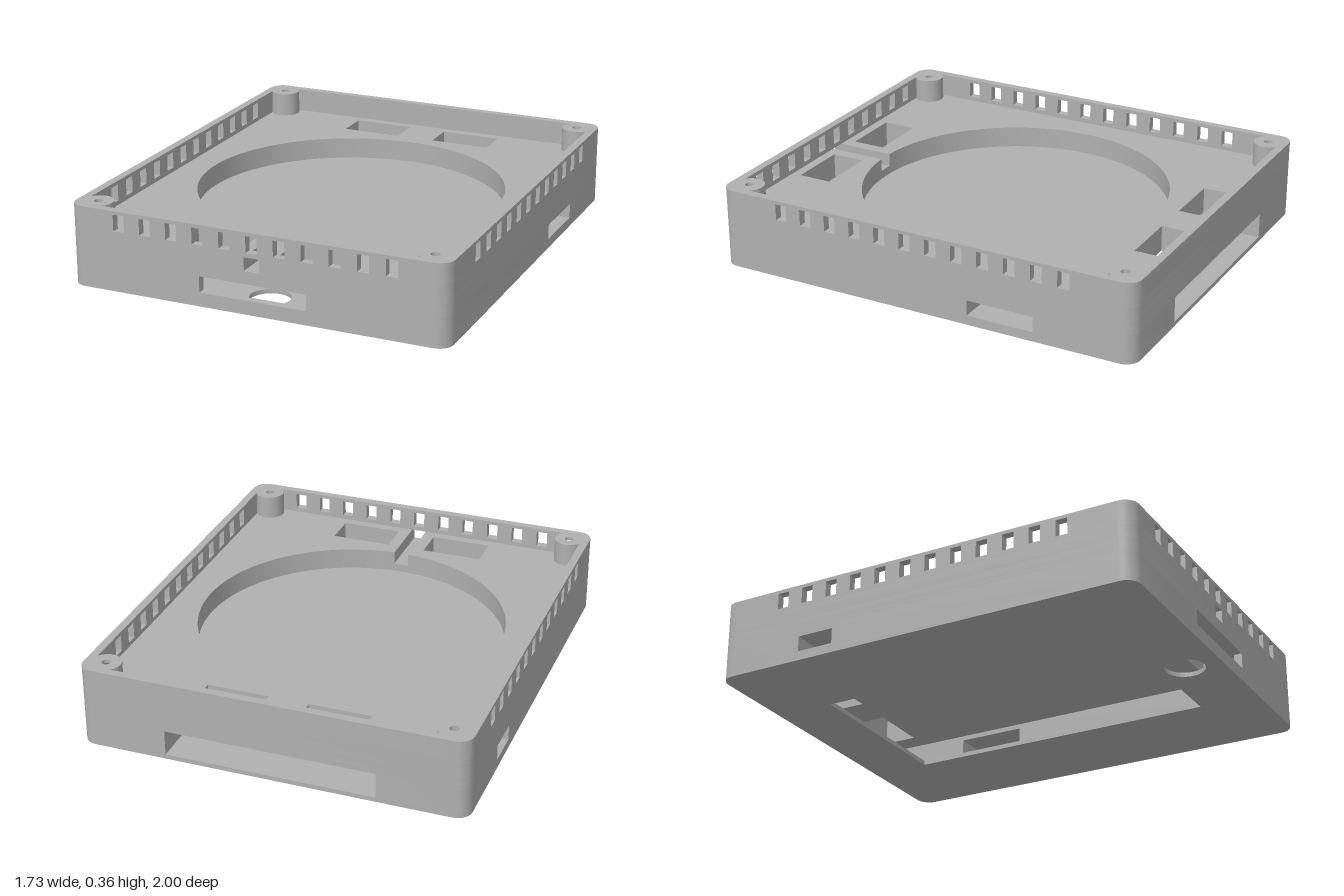
import * as THREE from 'three';
import { toCreasedNormals } from 'three/addons/utils/BufferGeometryUtils.js';

const W = 0.865, D = 1, H = 0.363, R = 0.065;   // half width, half depth, height, corner radius
const IX = 0.828, IZ = 0.963;                   // inner faces of the rim walls
const FLOOR = 0.02, CEIL = 0.135, DISH = 0.155, GROOVE = 0.193, DECK = 0.253;
const VENT0 = 0.273, VENT1 = 0.347;
const BAY = 0.47;                               // half width of the lower bay
const POST = { x: 0.77, z: 0.91, r: 0.068, hole: 0.02 };

export function createModel() {
  const model = new THREE.Group();
  const plastic = new THREE.MeshStandardMaterial({ color: 0xb0b0b0 });
  plastic.name = 'grey plastic';

  const add = (name, geometry) => {
    const mesh = new THREE.Mesh(geometry, plastic);
    mesh.name = name;
    model.add(mesh);
    return mesh;
  };

  // Plan outlines are lists of [x, z]
  const arc = (cx, cz, r, a0, a1, n) => Array.from({ length: n + 1 }, (_, i) => {
    const a = a0 + (a1 - a0) * i / n;
    return [cx + r * Math.cos(a), cz + r * Math.sin(a)];
  });
  const circle = (cx, cz, r, n) => arc(cx, cz, r, 0, 2 * Math.PI, n).slice(0, -1);
  const rect = (x0, x1, z0, z1) => [[x0, z0], [x1, z0], [x1, z1], [x0, z1]];
  const mirror = (pts, sx, sz) => pts.map(([x, z]) => [x * sx, z * sz]);
  const toVectors = pts => pts.map(([x, z]) => new THREE.Vector2(x, -z));

  // Plan outline with holes, raised from y0 to y1
  const slab = (name, y0, y1, outline, holes = []) => {
    const shape = new THREE.Shape(toVectors(outline));
    shape.holes = holes.map(h => new THREE.Path(toVectors(h)));
    const geo = new THREE.ExtrudeGeometry(shape, { depth: y1 - y0, bevelEnabled: false });
    geo.rotateX(-Math.PI / 2).translate(0, y0, 0);
    return add(name, toCreasedNormals(geo, 0.5));
  };
  const box = (name, x0, x1, y0, y1, z0, z1) =>
    add(name, new THREE.BoxGeometry(x1 - x0, y1 - y0, z1 - z0))
      .position.set((x0 + x1) / 2, (y0 + y1) / 2, (z0 + z1) / 2);

  // One corner, from the front wall round to the side wall
  const outerCorner = arc(W - R, D - R, R, Math.PI / 2, 0, 6);
  const postStart = Math.PI - Math.asin((IZ - POST.z) / POST.r);
  const postEnd = 2 * Math.PI - Math.acos((IX - POST.x) / POST.r);
  const postCorner = arc(POST.x, POST.z, POST.r, postStart, postEnd, 14);
  const corners = [[1, 1], [1, -1], [-1, -1], [-1, 1]];
  const around = pts => corners.flatMap(([sx, sz]) => {
    const m = mirror(pts, sx, sz);
    return sx * sz > 0 ? m : m.reverse();
  });
  const outline = around(outerCorner);
  const rimInside = around(postCorner);
  const screwHoles = corners.map(([sx, sz]) => circle(sx * POST.x, sz * POST.z, POST.hole, 16));
  const pockets = corners.map(([sx, sz]) => mirror(rect(0.09, 0.37, 0.765, 0.92), sx, sz));

  // Base plate with the large opening and the finger hole
  slab('basePlate', 0, FLOOR, outline,
    [rect(-0.41, 0.41, -0.725, 0.725), circle(0, 0.832, 0.09, 40)]);

  // Lower bay, open at the back, with one port tunnel through each side block
  const PORT0 = 0.043, PORT1 = 0.113;
  for (const [s, z0, z1] of [[1, -0.545, -0.235], [-1, -0.59, -0.42]]) {
    const end = (sz, z) => [[s * BAY, sz * D], ...mirror(outerCorner, s, sz), [s * W, z], [s * BAY, z]];
    slab('sideBlockFront', FLOOR, CEIL, end(1, z1), []);
    slab('sideBlockBack', FLOOR, CEIL, end(-1, z0), []);
    const [x0, x1] = s > 0 ? [BAY, W] : [-W, -BAY];
    box('portSill', x0, x1, FLOOR, PORT0, z0, z1);
    box('portLintel', x0, x1, PORT1, CEIL, z0, z1);
  }

  // Lower front wall around the wide slot
  box('frontSlotSill', -0.245, 0.245, FLOOR, 0.063, IZ, D);
  box('frontLowerWall', 0.245, BAY, FLOOR, CEIL, IZ, D);
  box('frontLowerWall', -BAY, -0.245, FLOOR, CEIL, IZ, D);

  // Deck: dish floor, dish wall, then the level with the cable groove
  const DR = 0.695, GX = 0.035;
  slab('dishFloor', CEIL, DISH, outline, pockets);
  slab('deckLower', DISH, GROOVE, outline, [circle(0, 0, DR, 96), ...pockets]);
  const g = Math.asin(GX / DR);
  const keyhole = arc(0, 0, DR, Math.PI / 2 - g, Math.PI / 2 + g - 2 * Math.PI, 96);
  slab('deckUpper', GROOVE, DECK,
    [...outline, [-GX, D], ...keyhole.reverse(), [GX, D]], pockets);

  // Rim with screw posts: solid bands above and below the vents
  slab('rimLower', DECK, VENT0, outline, [rimInside, ...screwHoles]);
  slab('rimUpper', VENT1, H, outline, [rimInside, ...screwHoles]);
  const [postX] = postCorner[0], postZ = postCorner[postCorner.length - 1][1];
  corners.forEach(([sx, sz], i) => slab('screwPost', VENT0, VENT1, mirror(
    [[postX, D], ...outerCorner, [W, postZ], ...postCorner.slice().reverse()], sx, sz), [screwHoles[i]]));

  // Pillars between evenly spaced vents, as [start, end] along the wall
  const pillars = (half, count, pitch, width) => {
    const edges = [-half];
    for (let i = 0; i < count; i++) {
      const c = (i - (count - 1) / 2) * pitch;
      edges.push(c - width / 2, c + width / 2);
    }
    edges.push(half);
    return Array.from({ length: count + 1 }, (_, i) => [edges[2 * i], edges[2 * i + 1]]);
  };
  for (const [a, b] of pillars(postX, 11, 0.1245, 0.052)) box('frontVentPillar', a, b, VENT0, VENT1, IZ, D);
  for (const [a, b] of pillars(postZ, 12, 0.124, 0.054)) {
    box('sideVentPillar', IX, W, VENT0, VENT1, a, b);
    box('sideVentPillar', -W, -IX, VENT0, VENT1, a, b);
  }
  box('backRimWall', -postX, postX, VENT0, VENT1, -D, -IZ);

  return model;
}
